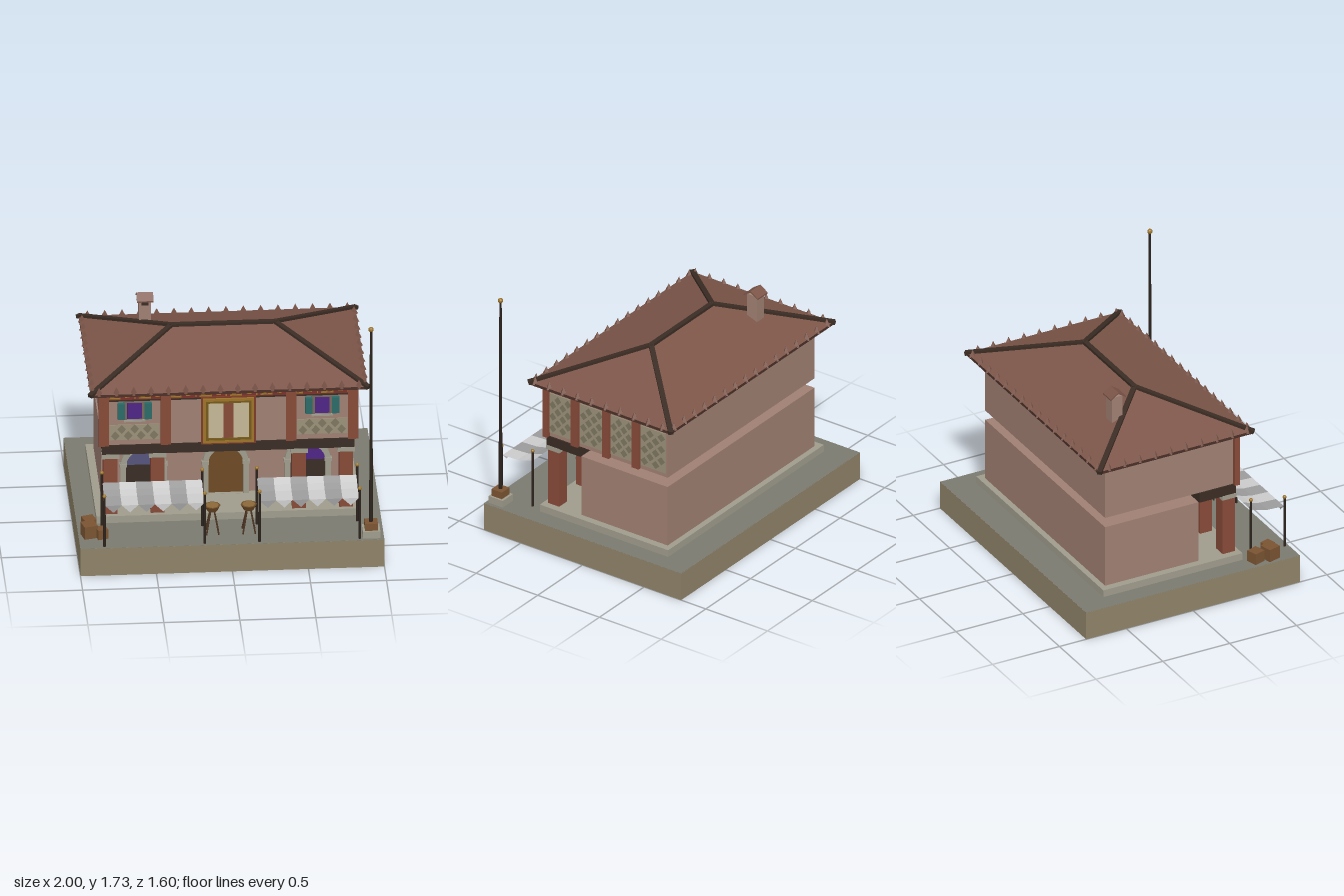
import * as THREE from 'three';
import { mergeGeometries } from 'three/addons/utils/BufferGeometryUtils.js';

const mats = {};
function mat(color, double = false) {
  const key = color + (double ? 'd' : '');
  return mats[key] ??= new THREE.MeshStandardMaterial({
    color, flatShading: true, side: double ? THREE.DoubleSide : THREE.FrontSide });
}
const C = { wall: 0x9f7f72, brick: 0x864a38, dark: 0x3a2c24, stone: 0x9f9c8c, ground: 0x7a7a70,
  tan: 0x8f8268, roof: 0x7c5548, gold: 0x9c7428, wood: 0x6e4a26, crate: 0x7a5432,
  lattice: 0x9a9178, latticeDark: 0x7d7660, teal: 0x2a6a68, purple: 0x4e2484, cream: 0xc4b896 };

export function createModel() {
  const root = new THREE.Group();
  root.name = 'tavern';

  const add = (name, geo, color, parent = root, double = false) => {
    const m = new THREE.Mesh(geo, mat(color, double));
    m.name = name;
    parent.add(m);
    return m;
  };
  // Box given by its limits on each axis
  const box = (name, color, x0, x1, y0, y1, z0, z1, parent = root) => {
    const m = add(name, new THREE.BoxGeometry(x1 - x0, y1 - y0, z1 - z0), color, parent);
    m.position.set((x0 + x1) / 2, (y0 + y1) / 2, (z0 + z1) / 2);
    return m;
  };
  // Cylinder between two points
  const rod = (name, color, a, b, r0, r1, sides = 8, parent = root) => {
    const p = new THREE.Vector3(...a), q = new THREE.Vector3(...b), d = q.clone().sub(p);
    const m = add(name, new THREE.CylinderGeometry(r1, r0, d.length(), sides), color, parent);
    m.position.copy(p).add(q).multiplyScalar(0.5);
    m.quaternion.setFromUnitVectors(new THREE.Vector3(0, 1, 0), d.normalize());
    return m;
  };
  const ball = (x, y, z, r) =>
    add('finial', new THREE.IcosahedronGeometry(r, 1), C.gold).position.set(x, y, z);

  // Ground and walls
  box('base', C.tan, -1, 1, 0, 0.199, -0.8, 0.8);
  box('paving', C.ground, -0.999, 0.999, 0.19, 0.2, -0.799, 0.799);
  box('plinth', C.stone, -0.87, 0.87, 0.2, 0.25, -0.6, 0.44);
  box('lowerWall', C.wall, -0.82, 0.82, 0.25, 0.69, -0.56, 0.14);
  box('upperWall', C.wall, -0.82, 0.82, 0.76, 1.15, -0.56, 0.41);
  box('galleryBeam', C.dark, -0.83, 0.83, 0.69, 0.76, 0.14, 0.415);
  box('cornice', C.stone, -0.86, 0.86, 1.14, 1.156, -0.6, 0.45);

  // Gallery columns and upper posts
  for (const x of [-0.775, -0.465, 0.465, 0.775]) {
    box('column', C.brick, x - 0.045, x + 0.045, 0.25, 0.66, 0.32, 0.41);
    box('capital', C.stone, x - 0.057, x + 0.057, 0.66, 0.692, 0.31, 0.417);
  }
  for (const x of [-0.82, -0.412, 0.412, 0.82])
    box('upperPost', C.brick, x - 0.034, x + 0.034, 0.76, 1.15, 0.395, 0.432);
  for (const z of [0.182, -0.072, -0.313])
    box('sidePost', C.brick, 0.81, 0.845, 0.76, 1.15, z - 0.028, z + 0.028);

  // Lattice panels: backing plate with staggered diamonds, built facing +z
  function latticePanel(w, h) {
    const g = new THREE.Group();
    g.name = 'latticePanel';
    box('latticeBack', C.lattice, -w / 2, w / 2, -h / 2, h / 2, -0.004, 0.004, g);
    const nx = Math.round(w / 0.05), ny = Math.round(h / 0.05), sx = w / nx, sy = h / ny, list = [];
    for (let i = 0; i < nx; i++) for (let j = 0; j < ny; j++) {
      if ((i + j) % 2) continue;
      const d = new THREE.CircleGeometry(1, 4);
      d.scale(sx * 0.62, sy * 0.62, 1);
      d.translate((i + 0.5 - nx / 2) * sx * 0.9, (j + 0.5 - ny / 2) * sy * 0.88, 0.006);
      list.push(d);
    }
    add('latticeDiamonds', mergeGeometries(list), C.latticeDark, g);
    root.add(g);
    return g;
  }
  for (const [z0, z1] of [[0.215, 0.395], [-0.04, 0.147], [-0.28, -0.1], [-0.546, -0.344]]) {
    const p = latticePanel(z1 - z0, 0.297);
    p.position.set(0.822, 0.938, (z0 + z1) / 2);
    p.rotation.y = Math.PI / 2;
  }

  // Shuttered windows with lattice below
  for (const s of [-1, 1]) {
    const x = s * 0.617;
    latticePanel(0.33, 0.11).position.set(x, 0.853, 0.412);
    box('windowFrame', 0x77695c, x - 0.066, x + 0.066, 0.935, 1.08, 0.405, 0.42);
    box('windowSill', C.stone, x - 0.07, x + 0.07, 0.935, 0.948, 0.405, 0.43);
    box('windowPane', C.purple, x - 0.049, x + 0.049, 0.955, 1.07, 0.41, 0.425);
    for (const t of [-1, 1])
      box('shutter', C.teal, x + t * 0.088 - 0.024, x + t * 0.088 + 0.024, 0.957, 1.073, 0.41, 0.44);
  }

  // Frieze with a gold key pattern
  box('frieze', 0x7c3028, -0.79, 0.79, 1.092, 1.14, 0.405, 0.419);
  box('friezeRail', C.dark, -0.79, 0.79, 1.085, 1.094, 0.405, 0.424);
  for (let i = 0; i < 16; i++) {
    const x = -0.75 + i * 0.1, up = i % 2;
    box('keyTop', C.gold, x - 0.04, x + 0.04, up ? 1.122 : 1.102, up ? 1.13 : 1.11, 0.41, 0.423);
    box('keyUpright', C.gold, x + 0.032, x + 0.04, 1.102, 1.13, 0.41, 0.423);
    box('keyHook', C.gold, x - 0.03, x, 1.112, 1.119, 0.41, 0.423);
  }

  // Framed centre banner
  box('bannerBorder', 0x7c3a28, -0.18, 0.18, 0.752, 1.1, 0.405, 0.43);
  const frame = (name, color, w, h, t, z) => {
    const s = new THREE.Shape([[-w, -h], [w, -h], [w, h], [-w, h]].map(p => new THREE.Vector2(...p)));
    s.holes.push(new THREE.Path([[-1, -1], [-1, 1], [1, 1], [1, -1]]
      .map(([a, b]) => new THREE.Vector2(a * (w - t), b * (h - t)))));
    add(name, new THREE.ExtrudeGeometry(s, { depth: 0.014, bevelEnabled: false }), color)
      .position.set(0, 0.929, z);
  };
  frame('bannerFrame', C.gold, 0.168, 0.162, 0.018, 0.43);
  frame('bannerInnerFrame', 0x75591c, 0.15, 0.145, 0.016, 0.428);
  box('bannerCloth', C.cream, -0.134, 0.134, 0.8, 1.058, 0.42, 0.434);
  box('bannerStripe', C.brick, -0.033, 0.033, 0.8, 1.058, 0.42, 0.437);

  // Arched doorways
  const arch = (r, y0 = 0.25) => {
    const s = new THREE.Shape();
    s.moveTo(-r, y0);
    s.lineTo(r, y0);
    s.lineTo(r, 0.475);
    s.absarc(0, 0.475, r, 0, Math.PI, false);
    s.closePath();
    return s;
  };
  const slab = (shape, depth) =>
    new THREE.ExtrudeGeometry(shape, { depth, bevelEnabled: false, curveSegments: 10 });
  for (const x of [-0.54, 0, 0.54]) {
    const g = new THREE.Group();
    g.name = 'doorway';
    g.position.set(x, 0, 0.139);
    root.add(g);
    const surround = arch(0.152);
    surround.holes.push(arch(0.115, 0.251));
    add('stoneArch', slab(surround, 0.032), C.stone, g);
    add('door', slab(arch(0.116), 0.008), x ? C.dark : C.wood, g);
    if (x) add('fanlight', slab(arch(0.114, 0.5 - 0.025), 0.012), x < 0 ? 0x55537c : C.purple, g);
    box('keystone', C.stone, -0.02, 0.02, 0.58, 0.642, 0, 0.04, g);
    for (const s of [-1, 1])
      box('impost', C.stone, s * 0.134 - 0.024, s * 0.134 + 0.024, 0.47, 0.492, 0, 0.038, g);
  }

  // Hipped roof
  const ex = 0.91, zf = 0.495, zb = -0.65, ey = 1.174, rx = 0.34, rz = -0.078, ry = 1.38;
  const fl = [-ex, ey, zf], fr = [ex, ey, zf], bl = [-ex, ey, zb], br = [ex, ey, zb];
  const rl = [-rx, ry, rz], rr = [rx, ry, rz];
  const roof = new THREE.BufferGeometry();
  roof.setAttribute('position', new THREE.Float32BufferAttribute(
    [fl, fr, rr, fl, rr, rl, br, bl, rl, br, rl, rr, fr, br, rr, bl, fl, rl].flat(), 3));
  roof.computeVertexNormals();
  add('roof', roof, C.roof);
  box('eave', 0x4a3028, -ex, ex, 1.154, ey, zb, zf);
  const beam = (name, a, b) => {
    const p = new THREE.Vector3(...a), q = new THREE.Vector3(...b);
    const m = add(name, new THREE.BoxGeometry(0.034, 0.026, p.distanceTo(q) + 0.02), C.dark);
    m.position.copy(p).add(q).multiplyScalar(0.5);
    m.lookAt(q);
  };
  beam('ridge', rl, rr);
  for (const [a, b] of [[fl, rl], [bl, rl], [fr, rr], [br, rr]]) beam('hip', a, b);

  // Pointed tiles along the eaves
  const tile = (x, z) => {
    const m = add('eaveTile', new THREE.ConeGeometry(0.027, 0.055, 4), C.roof);
    m.position.set(x, 1.193, z);
  };
  for (let i = 0; i < 16; i++) for (const z of [zf - 0.015, zb + 0.015]) tile(-0.855 + i * 0.114, z);
  for (let i = 0; i < 10; i++) for (const x of [-ex + 0.015, ex - 0.015]) tile(x, 0.46 - i * 0.115);

  // Chimney with a gabled cap
  box('chimney', C.wall, -0.54, -0.46, 1.25, 1.468, -0.355, -0.275);
  box('chimneyVent', C.dark, -0.522, -0.478, 1.43, 1.46, -0.3, -0.272);
  const cap = new THREE.Shape([[-0.057, 1.458], [0, 1.496], [0.057, 1.458], [0.057, 1.468], [0, 1.507],
    [-0.057, 1.468]].map(p => new THREE.Vector2(...p)));
  const capMesh = add('chimneyCap', slab(cap, 0.11), C.roof);
  capMesh.rotation.y = Math.PI / 2;
  capMesh.position.set(-0.555, 0, -0.315);

  // Awnings: sagging striped cloth with a pointed valance on four poles
  const profile = [[0.52, 0.54], [0.58, 0.518], [0.645, 0.503], [0.77, 0.497]];
  for (const s of [-1, 1]) {
    const x0 = s * 0.508 - 0.327, w = 0.654 / 6;
    for (let i = 0; i < 6; i++) {
      const a = x0 + i * w, b = a + w, pts = [];
      for (let k = 0; k < 3; k++) {
        const [z, y] = profile[k], [Z, Y] = profile[k + 1];
        pts.push(a, y, z, a, Y, Z, b, Y, Z, a, y, z, b, Y, Z, b, y, z);
      }
      pts.push(a, 0.497, 0.77, (a + b) / 2, 0.445, 0.772, b, 0.497, 0.77);
      const g = new THREE.BufferGeometry();
      g.setAttribute('position', new THREE.Float32BufferAttribute(pts, 3));
      g.computeVertexNormals();
      add('awningStripe', g, i % 2 ? 0xc8c8c8 : 0x9c9c9c, root, true);
    }
    for (const x of [0.18, 0.84]) for (const [z, h] of [[0.52, 0.61], [0.772, 0.565]]) {
      rod('awningPole', 0x2c221c, [s * x, 0.2, z], [s * x, h, z], 0.009, 0.008);
      ball(s * x, h + 0.004, z, 0.013);
    }
  }

  // Stools
  for (const x of [-0.12, 0.12]) {
    const seat = add('stoolSeat', new THREE.CylinderGeometry(0.054, 0.036, 0.036, 8), C.wood);
    seat.position.set(x, 0.382, 0.618);
    const top = add('stoolTop', new THREE.CylinderGeometry(0.043, 0.043, 0.004, 8), 0x8c6a3a);
    top.position.set(x, 0.4, 0.618);
    for (let i = 0; i < 4; i++) {
      const a = Math.PI / 4 + i * Math.PI / 2, c = Math.cos(a), n = Math.sin(a);
      rod('stoolLeg', 0x4a3320, [x + c * 0.058, 0.2, 0.618 + n * 0.058],
        [x + c * 0.015, 0.37, 0.618 + n * 0.015], 0.006, 0.006, 6);
    }
  }

  // Crates
  for (const [x, z, size, turn] of [[-0.925, 0.51, 0.08, 0.3], [-0.93, 0.615, 0.09, 0.25], [-0.85, 0.64, 0.068, 0.3]]) {
    const c = add('crate', new THREE.BoxGeometry(size, size, size), C.crate);
    c.position.set(x, 0.2 + size / 2, z);
    c.rotation.y = turn;
  }

  // Flagpole
  box('poleFooting', C.stone, 0.86, 0.975, 0.2, 0.25, 0.665, 0.78);
  box('poleSocket', C.crate, 0.875, 0.96, 0.25, 0.3, 0.683, 0.767);
  rod('flagpole', 0x2c221c, [0.917, 0.3, 0.725], [0.917, 1.71, 0.725], 0.013, 0.008);
  ball(0.917, 1.714, 0.725, 0.018);

  return root;
}
